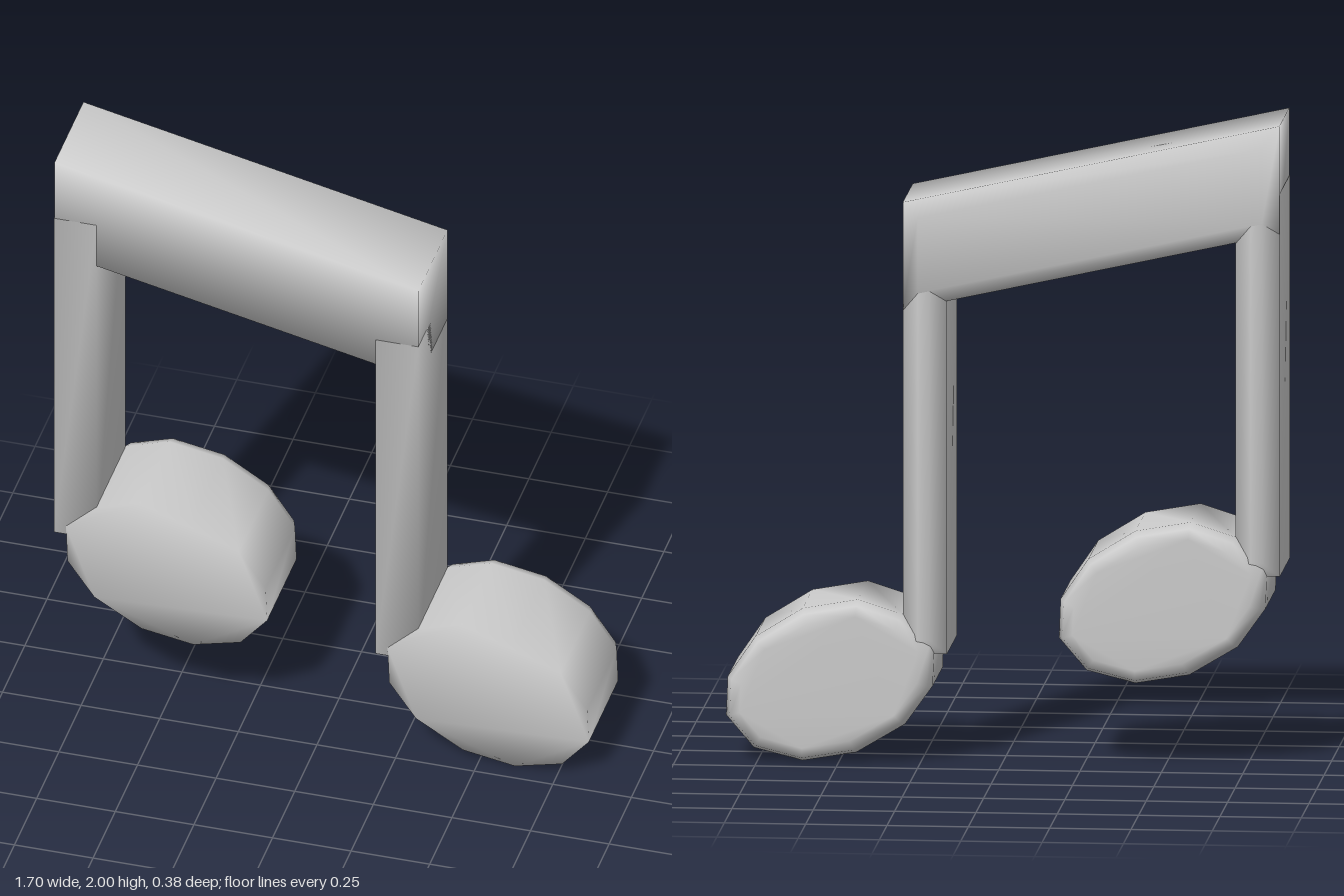
import * as THREE from 'three';

const grey = new THREE.MeshStandardMaterial({ color: 0xcccccc });
grey.name = 'light grey';

// Shrink a convex counter-clockwise outline evenly by d
function inset(points, d) {
  const n = points.length;
  const normal = (a, b) => new THREE.Vector2(a.y - b.y, b.x - a.x).normalize();
  return points.map((p, i) => {
    const n1 = normal(points[(i + n - 1) % n], p);
    const n2 = normal(p, points[(i + 1) % n]);
    return n1.clone().add(n2).multiplyScalar(d / (1 + n1.dot(n2))).add(p);
  });
}

// Smooth-shaded slab: flat front, bevelled back; rings are [z, inset] from front to back
function slab(name, outline, rings) {
  const n = outline.length;
  const positions = [];
  const index = [];
  for (const [z, d] of rings) {
    for (const p of inset(outline, d)) positions.push(p.x, p.y, z);
  }
  for (let r = 0; r < rings.length - 1; r++) {
    for (let i = 0; i < n; i++) {
      const a = r * n + i, b = r * n + (i + 1) % n;
      index.push(a, a + n, b + n, a, b + n, b);
    }
  }
  const last = (rings.length - 1) * n;
  for (const [a, b, c] of THREE.ShapeUtils.triangulateShape(outline, [])) {
    index.push(a, b, c, last + a, last + c, last + b);
  }
  const geometry = new THREE.BufferGeometry();
  geometry.setAttribute('position', new THREE.Float32BufferAttribute(positions, 3));
  geometry.setIndex(index);
  geometry.computeVertexNormals();
  const mesh = new THREE.Mesh(geometry, grey);
  mesh.name = name;
  return mesh;
}

const toPoints = (list) => list.map(([x, y]) => new THREE.Vector2(x, y));

export function createModel() {
  const group = new THREE.Group();
  group.name = 'beamedNotes';

  // Slanted beam joining the stems
  const beam = toPoints([[-0.853, 1.665], [0.305, 1.41], [0.305, 1.745], [-0.853, 2]]);
  group.add(slab('beam', beam, [[0.188, 0], [-0.14, 0], [-0.19, 0.05]]));

  // Twelve-sided tilted oval, starting at its left end
  const head = toPoints([
    [-0.815, 0.63], [-0.81, 0.5], [-0.725, 0.38], [-0.575, 0.29], [-0.41, 0.262], [-0.26, 0.3],
    [-0.175, 0.4], [-0.18, 0.52], [-0.265, 0.645], [-0.41, 0.735], [-0.58, 0.765], [-0.72, 0.72],
  ]);
  const stem = toPoints([[-0.854, 0.6], [-0.718, 0.6], [-0.718, 1.79], [-0.854, 1.79]]);

  // The two notes are the same shape, the second one lower
  [['right', 0, 0], ['left', 1.023, -0.257]].forEach(([side, x, y]) => {
    const note = new THREE.Group();
    note.name = side + 'Note';
    note.add(slab('stem', stem, [[0.19, 0], [-0.138, 0], [-0.188, 0.05]]));
    note.add(slab('noteHead', head, [[0.191, 0], [-0.14, 0], [-0.178, 0.014], [-0.19, 0.045]]));
    note.position.set(x, y, 0);
    group.add(note);
  });
  return group;
}
